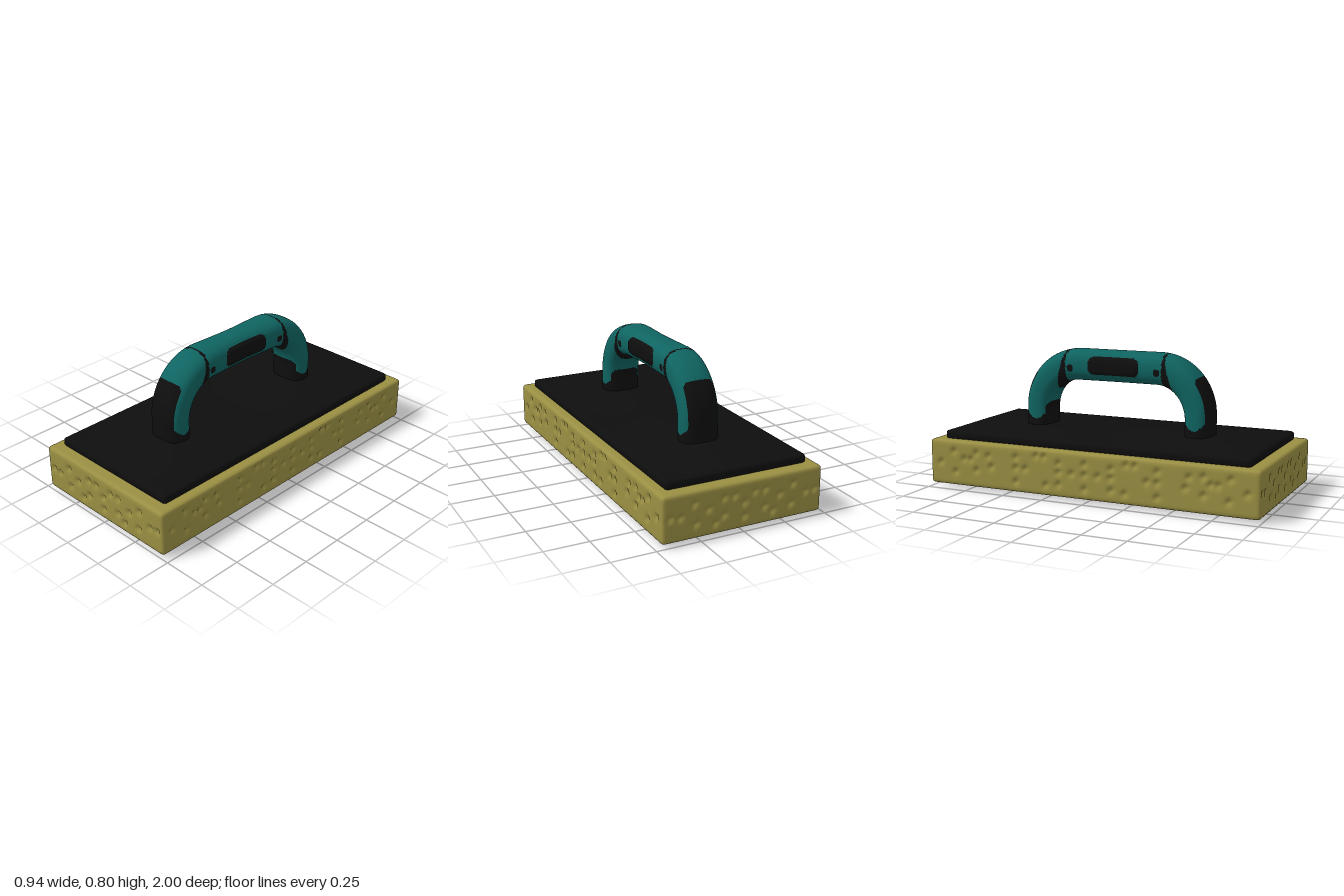
import * as THREE from 'three';
import { mergeVertices } from 'three/addons/utils/BufferGeometryUtils.js';

const mat = (name, color, side = THREE.FrontSide) => {
  const m = new THREE.MeshStandardMaterial({ color, side });
  m.name = name;
  return m;
};

// signed distance to a rounded rectangle centred on the origin
function roundRect(x, y, hx, hy, r) {
  const dx = Math.abs(x) - hx + r, dy = Math.abs(y) - hy + r;
  return Math.hypot(Math.max(dx, 0), Math.max(dy, 0)) + Math.min(Math.max(dx, dy), 0) - r;
}

// finely divided block with rounded edges, its vertices then moved by a rule
function softBlock(w, h, d, r, segs, yBase, rule) {
  let g = new THREE.BoxGeometry(w, h, d, ...segs);
  g.deleteAttribute('uv');
  g.deleteAttribute('normal');
  g = mergeVertices(g, 1e-5);
  const p = g.attributes.position;
  const v = new THREE.Vector3(), core = new THREE.Vector3();
  const hi = new THREE.Vector3(w / 2 - r, h / 2 - r, d / 2 - r), lo = hi.clone().negate();
  for (let i = 0; i < p.count; i++) {
    v.fromBufferAttribute(p, i);
    core.copy(v).clamp(lo, hi);
    v.sub(core);
    const n = v.clone().normalize();
    v.copy(core).addScaledVector(n, r);
    v.y += yBase + h / 2;
    rule(v, n);
    p.setXYZ(i, v.x, v.y, v.z);
  }
  g.computeVertexNormals();
  return g;
}

// pore centres, mirrored about the middle of each face
const endPores = [[.29, .21], [.12, .21], [.06, .21], [.37, .15], [.21, .165], [0, .16],
  [.425, .155], [.28, .1], [.12, .115], [.17, .08], [0, .085]];
const sidePores = [[.93, .15], [.84, .22], [.83, .1], [.77, .18], [.73, .18], [.69, .12], [.69, .22],
  [.61, .21], [.59, .15], [.43, .22], [.43, .16], [.43, .08], [.37, .16], [.3, .24], [.25, .24],
  [.24, .08], [.16, .16], [.16, .21], [.16, .09], [.08, .16], [0, .22], [0, .16], [0, .08]];
const basePores = [[.33, .85], [.2, .78], [.38, .6], [.3, .55], [.1, .62], [.36, .3], [.25, .22], [.4, .1]];

function poreDepth(list, a, b) {
  let depth = 0;
  for (const [u, v] of list) {
    const d2 = (Math.abs(a) - u) ** 2 + (b - v) ** 2;
    depth = Math.max(depth, 0.015 * Math.exp(-d2 / 0.00028));
  }
  return depth;
}

function makeSponge() {
  return softBlock(0.94, 0.26, 2, 0.02, [78, 22, 166], 0.02, (v, n) => {
    const { x, y, z } = v;
    if (Math.abs(n.z) > 0.9) v.z -= Math.sign(z) * poreDepth(endPores, x, y);
    else if (Math.abs(n.x) > 0.9) v.x -= Math.sign(x) * poreDepth(sidePores, z, y);
    else if (n.y < -0.9) {
      // uneven, slightly sagging underside
      const fade = (1 - (x / 0.47) ** 2) * (1 - z * z);
      v.y -= 0.012 * Math.exp(-((x / 0.13) ** 2) - (z / 0.3) ** 2);
      v.y -= 0.008 * Math.exp(-((x / 0.025) ** 2) - (z / 0.08) ** 2);
      v.y += 0.003 * fade * Math.sin(x * 14 + 2 * Math.sin(z * 5)) * Math.sin(z * 11);
      v.y += 0.6 * poreDepth(basePores, x, Math.abs(z));
      v.y = Math.max(v.y, 0);
    }
  });
}

// backing plate with low mounds under the handle feet
function makePlate() {
  return softBlock(0.83, 0.053, 1.86, 0.018, [42, 4, 94], 0.275, (v) => {
    if (v.y > 0.3) {
      v.y += 0.018 * Math.exp(-((v.x / 0.2) ** 2) - ((Math.abs(v.z) - 0.5) / 0.25) ** 2);
    }
  });
}

const onPad = (y, z) => roundRect(z, y - 0.71, 0.16, 0.053, 0.04);

// dark areas of the handle: side pads, studs, feet and the leg panels
function isDark(x, y, z, outward) {
  const az = Math.abs(z), ax = Math.abs(x);
  if (ax > 0.06 && onPad(y, z) < 0) return true;
  if (ax > 0.06 && Math.hypot(az - 0.27, y - 0.69) < 0.021) return true;
  if (az < 0.3) return false;
  if (y < 0.38 + 0.03 * ((az - 0.495) / 0.05) ** 2) return true;
  const top = outward > 0 ? 0.67 : 0.48;
  return roundRect(x, y - (top - 0.3), 0.09, 0.3, 0.04) < 0;
}

// arched handle: rounded section swept along a bridge-shaped path
function makeHandle() {
  const path = new THREE.Path();
  path.moveTo(-0.5, 0.3);
  path.lineTo(-0.5, 0.44);
  path.absellipse(-0.25, 0.44, 0.25, 0.265, Math.PI, Math.PI / 2, true);
  path.lineTo(0.25, 0.705);
  path.absellipse(0.25, 0.44, 0.25, 0.265, Math.PI / 2, 0, true);
  path.lineTo(0.5, 0.3);

  const N = 240, M = 88, E = 2.6;
  const pos = [], grip = [], inlay = [];
  for (let i = 0; i <= N; i++) {
    const c = path.getPointAt(i / N), t = path.getTangentAt(i / N);
    const thick = 0.08 + 0.011 * Math.abs(t.x);
    const width = 0.11 - 0.017 * Math.exp(-((c.x / 0.2) ** 2));
    for (let j = 0; j < M; j++) {
      const a = (j / M) * Math.PI * 2, co = Math.cos(a), si = Math.sin(a);
      const r = (Math.abs(co) ** E + Math.abs(si) ** E) ** (-1 / E);
      const z = c.x - t.y * co * r * thick, y = c.y + t.x * co * r * thick;
      let x = si * r * width;
      // pads stand slightly proud
      if (Math.abs(x) > 0.06 && onPad(y, z) < 0) {
        x += Math.sign(x) * Math.min(0.011, -onPad(y, z));
      }
      pos.push(x, y, z);
    }
  }
  for (let i = 0; i < N; i++) {
    for (let j = 0; j < M; j++) {
      const k = (j + 1) % M;
      const q = [i * M + j, (i + 1) * M + j, i * M + k, (i + 1) * M + k];
      const mid = [0, 1, 2].map((n) => q.reduce((s, v) => s + pos[v * 3 + n], 0) / 4);
      const dark = isDark(...mid, Math.cos(((j + 0.5) / M) * Math.PI * 2));
      (dark ? inlay : grip).push(q[0], q[1], q[2], q[1], q[3], q[2]);
    }
  }
  // both colours share the same smooth surface
  const whole = new THREE.BufferGeometry();
  whole.setAttribute('position', new THREE.Float32BufferAttribute(pos, 3));
  whole.setIndex([...grip, ...inlay]);
  whole.computeVertexNormals();
  return [grip, inlay].map((index) => {
    const g = new THREE.BufferGeometry();
    g.setAttribute('position', whole.attributes.position);
    g.setAttribute('normal', whole.attributes.normal);
    g.setIndex(index);
    return g;
  });
}

export function createModel() {
  const teal = mat('tealGrip', 0x0f6461, THREE.DoubleSide);
  const black = mat('blackRubber', 0x0e0e0e, THREE.DoubleSide);
  const yellow = mat('spongeYellow', 0x9a8f43);
  const model = new THREE.Group();
  model.name = 'spongeFloat';
  const add = (parent, name, geometry, material) => {
    const m = new THREE.Mesh(geometry, material);
    m.name = name;
    parent.add(m);
  };
  add(model, 'sponge', makeSponge(), yellow);
  add(model, 'backingPlate', makePlate(), black);

  const handle = new THREE.Group();
  handle.name = 'handle';
  const [grip, inlay] = makeHandle();
  add(handle, 'handleGrip', grip, teal);
  add(handle, 'handleInlays', inlay, black);
  model.add(handle);
  return model;
}
